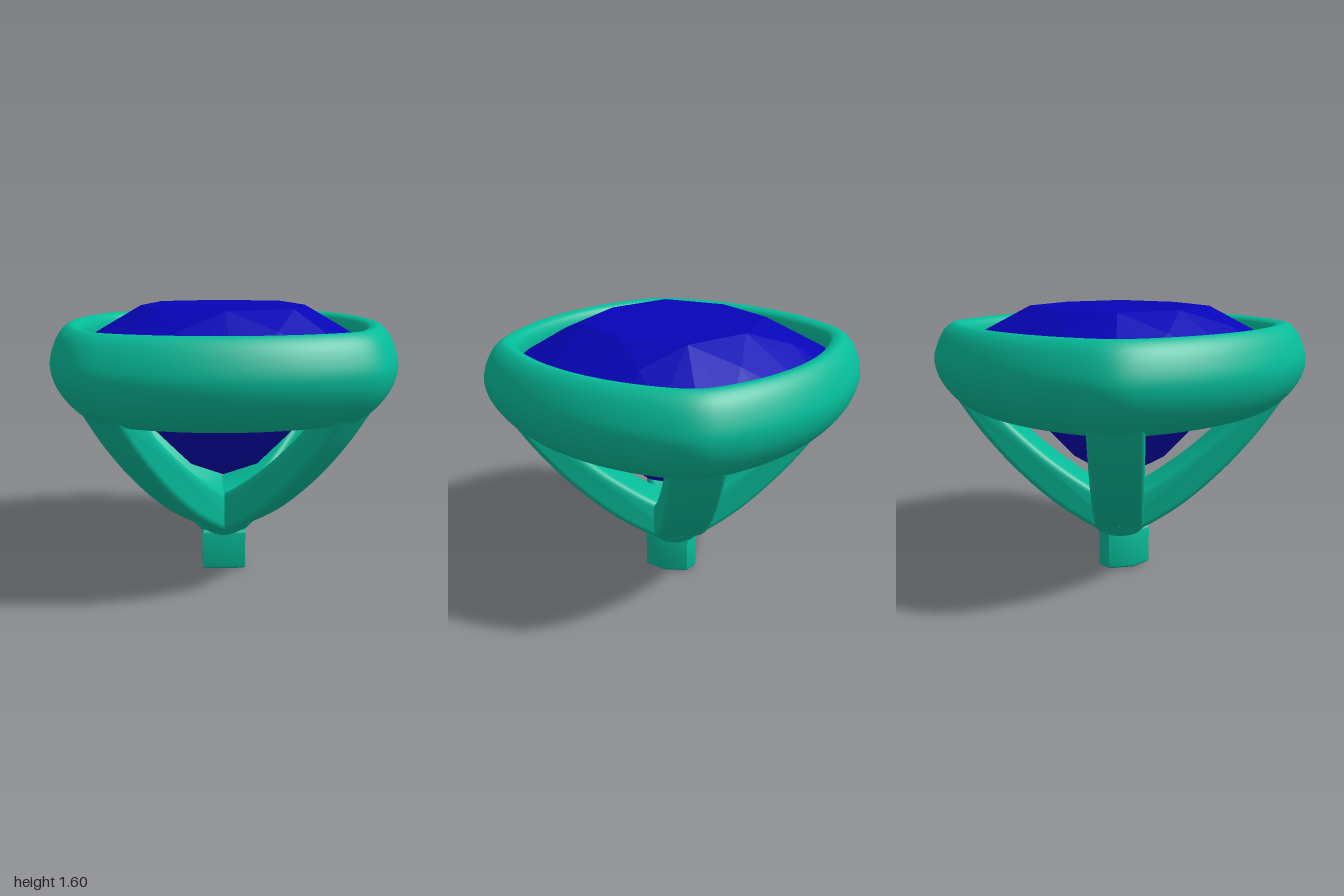
import * as THREE from 'three';
import { toCreasedNormals } from 'three/addons/utils/BufferGeometryUtils.js';
import { ConvexGeometry } from 'three/addons/geometries/ConvexGeometry.js';

const metal = new THREE.MeshStandardMaterial({ color: 0x05bb99 });
const blue = new THREE.MeshStandardMaterial({ color: 0x0604b6 });

// Radius of the cushion outline: four bowed sides with slightly softened corners
function cushion(a) {
  const R = 1.555, c = R - 1, p = 45;
  const side = (co, si) => -c * Math.abs(co) + Math.sqrt(R * R - c * c * si * si);
  const r1 = side(Math.cos(a), Math.sin(a));
  const r2 = side(Math.sin(a), Math.cos(a));
  return Math.pow(Math.pow(r1, -p) + Math.pow(r2, -p), -1 / p);
}

function onCushion(a, scale, y) {
  const r = cushion(a) * scale;
  return new THREE.Vector3(r * Math.cos(a), y, r * Math.sin(a));
}

// Closed rounded profile (scale, height) swept round the cushion outline
function bezelGeometry() {
  const profile = new THREE.CatmullRomCurve3([
    [0.89, 1.508], [0.94, 1.465], [0.985, 1.37], [1, 1.29], [0.982, 1.2], [0.93, 1.11],
    [0.85, 1.035], [0.77, 1.01], [0.71, 1.02], [0.69, 1.08], [0.76, 1.24], [0.805, 1.36], [0.812, 1.45], [0.83, 1.493], [0.86, 1.508],
  ].map(([s, y]) => new THREE.Vector3(s, y, 0)), true).getPoints(60).slice(0, 60);
  const n = 160, m = profile.length, pos = [], index = [];
  for (let i = 0; i < n; i++) {
    for (let j = 0; j < m; j++) {
      pos.push(...onCushion(i / n * Math.PI * 2, profile[j].x, profile[j].y).toArray());
      const i2 = (i + 1) % n, j2 = (j + 1) % m;
      const a = i * m + j, b = i2 * m + j, c = i2 * m + j2, d = i * m + j2;
      index.push(a, b, d, b, c, d);
    }
  }
  const g = new THREE.BufferGeometry();
  g.setAttribute('position', new THREE.Float32BufferAttribute(pos, 3));
  g.setIndex(index);
  g.computeVertexNormals();
  return g;
}

// Faceted stone: hull of table, crown, girdle, pavilion and point
function gemGeometry() {
  const pts = [new THREE.Vector3(0, 0.57, 0)];
  const ring = (n, offset, scale, y) => {
    for (let i = 0; i < n; i++) pts.push(onCushion((i + offset) / n * Math.PI * 2, scale, y));
  };
  ring(8, 0, 0.48, 1.6);
  ring(8, 0.5, 0.66, 1.505);
  ring(32, 0, 0.825, 1.4);
  ring(32, 0, 0.825, 1.36);
  ring(8, 0.5, 0.56, 1.03);
  ring(8, 0, 0.25, 0.69);
  return new ConvexGeometry(pts);
}

// Curved arm, drawn side-on as (distance from axis, height)
function armGeometry() {
  const v = list => list.map(([x, y]) => new THREE.Vector2(x, y));
  const shape = new THREE.Shape();
  shape.moveTo(0, 0.22);
  shape.splineThru(v([[0.16, 0.28], [0.39, 0.43], [0.62, 0.64], [0.81, 0.86], [0.95, 1.06], [1.01, 1.15], [1.02, 1.24]]));
  shape.lineTo(0.86, 1.2);
  shape.splineThru(v([[0.71, 0.99], [0.565, 0.84], [0.38, 0.68], [0.15, 0.52], [0, 0.46]]));
  shape.closePath();
  const g = new THREE.ExtrudeGeometry(shape, {
    depth: 0.225, bevelSize: 0.035, bevelThickness: 0.035, bevelOffset: -0.035, bevelSegments: 4, curveSegments: 20,
  });
  g.translate(0, 0, -0.1125);
  return toCreasedNormals(g, 0.7);
}

// Short post, wide at the front and tapering to the back
function stemGeometry() {
  const outline = [[-0.13, -0.13], [0.13, -0.13], [0.13, 0], [0.045, 0.13], [-0.045, 0.13], [-0.13, 0]];
  const shape = new THREE.Shape(outline.map(([x, y]) => new THREE.Vector2(x, y)));
  const g = new THREE.ExtrudeGeometry(shape, {
    depth: 0.21, bevelSize: 0.02, bevelThickness: 0.02, bevelOffset: -0.02, bevelSegments: 3,
  });
  g.rotateX(-Math.PI / 2);
  g.translate(0, 0.02, 0);
  return toCreasedNormals(g, 0.7);
}

export function createModel() {
  const model = new THREE.Group();
  model.name = 'gemSetting';
  const add = (name, geometry, material) => {
    const mesh = new THREE.Mesh(geometry, material);
    mesh.name = name;
    model.add(mesh);
    return mesh;
  };
  add('bezel', bezelGeometry(), metal);
  add('gemstone', gemGeometry(), blue);
  add('stem', stemGeometry(), metal);

  // Flared collar joining the stem to the arms
  add('collar', new THREE.CylinderGeometry(0.215, 0.13, 0.09, 32), metal).position.y = 0.265;

  // Four arms under the corners of the bezel
  const arm = armGeometry();
  ['backLeftArm', 'backRightArm', 'frontRightArm', 'frontLeftArm'].forEach((name, i) => {
    add(name, arm, metal).rotation.y = Math.PI / 4 + i * Math.PI / 2;
  });
  return model;
}
